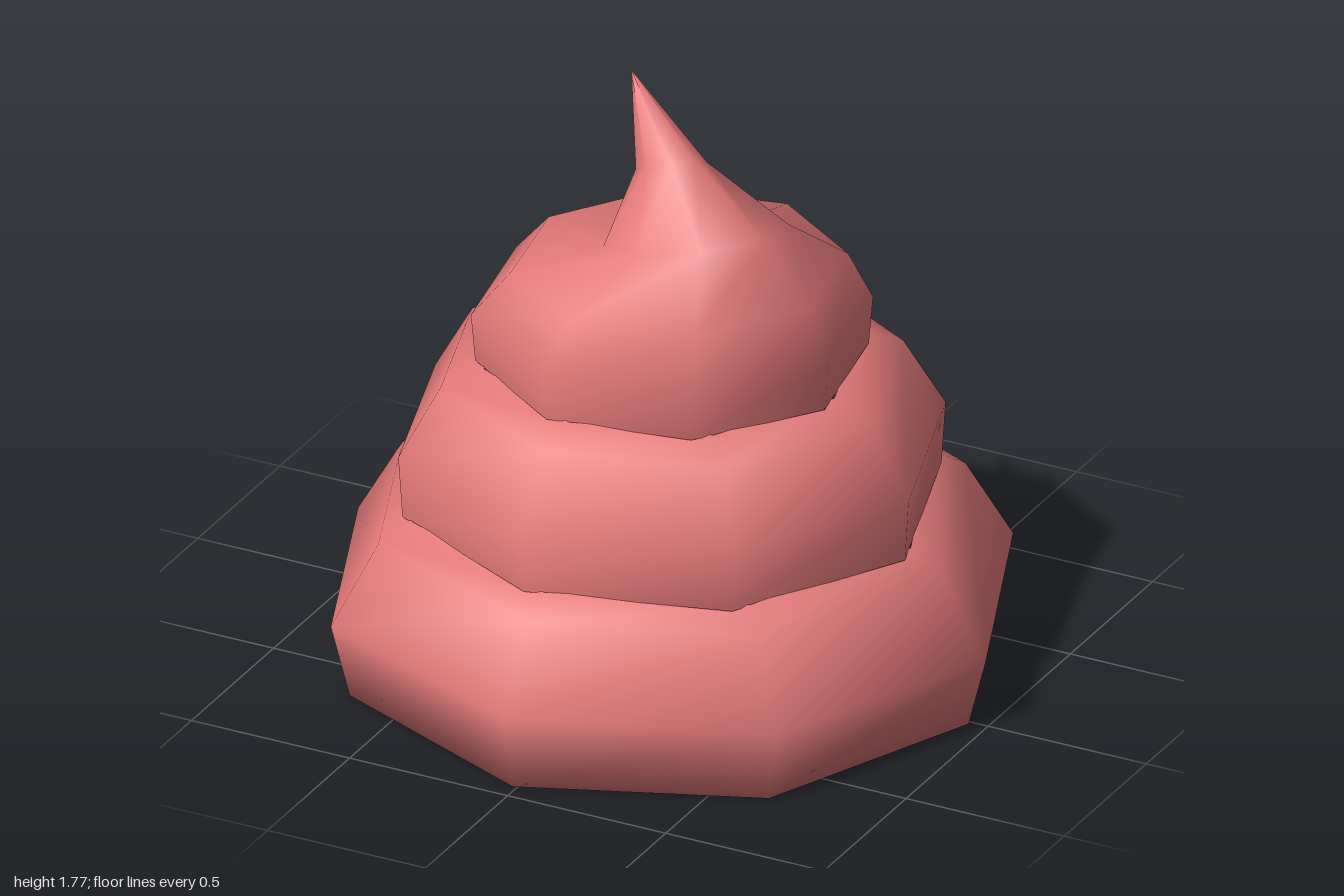
import * as THREE from 'three';

const SIDES = 8;
const mat = (name, color) => {
  const m = new THREE.MeshStandardMaterial({ color });
  m.name = name;
  return m;
};

// Skin stacked octagonal rings, listed bottom to top.
// Ring: radius r, height y, centre cx/cz, slope sx/sz, twist rot in degrees.
function loft(rings) {
  const pos = [], index = [];
  for (const { r, y, cx = 0, cz = 0, sx = 0, sz = 0, rot = 0, wave = 0 } of rings) {
    for (let i = 0; i < SIDES; i++) {
      const a = THREE.MathUtils.degToRad(rot) + (i * 2 * Math.PI) / SIDES;
      const dx = r * Math.cos(a), dz = r * Math.sin(a);
      pos.push(cx + dx, y + dx * sx + dz * sz - wave * Math.cos(2 * a), cz + dz);
    }
  }
  for (let j = 0; j < rings.length - 1; j++) {
    for (let i = 0; i < SIDES; i++) {
      const a = j * SIDES + i, b = j * SIDES + ((i + 1) % SIDES);
      index.push(a, a + SIDES, b, b, a + SIDES, b + SIDES);
    }
  }
  const geo = new THREE.BufferGeometry();
  geo.setAttribute('position', new THREE.Float32BufferAttribute(pos, 3));
  geo.setIndex(index);
  geo.computeVertexNormals();
  return geo;
}

export function createModel() {
  const group = new THREE.Group();
  group.name = 'swirl';
  const skin = mat('salmon', 0xe57a7a);
  const dark = mat('darkBrown', 0x633535);
  const blush = mat('purple', 0xc869e4);

  const add = (name, geo, material) => {
    const mesh = new THREE.Mesh(geo, material);
    mesh.name = name;
    group.add(mesh);
    return mesh;
  };

  // Bottom tier with its shallow hollow underside
  const bottomTier = add('bottomTier', loft([
    { r: 0, y: 0.1 },
    { r: 0.6, y: 0.09 },
    { r: 0.945, y: 0 },
    { r: 1, y: 0.225, wave: 0.015 },
    { r: 0.86, y: 0.467, wave: 0.017 },
    { r: 0.76, y: 0.52, wave: 0.01 },
  ].map((ring) => ({ rot: 0.8, ...ring }))), skin);

  // Middle tier
  const middleTier = add('middleTier', loft([
    { r: 0.775, y: 0.512, wave: 0.012 },
    { r: 0.787, y: 0.7, wave: 0.012 },
    { r: 0.665, y: 0.908, wave: 0.01 },
    { r: 0.54, y: 0.952, wave: 0.005 },
  ].map((ring) => ({ rot: 5, ...ring }))), skin);

  // Top tier drawn up into a curled tip
  add('topTier', loft([
    { r: 0.555, y: 0.947, rot: 12, wave: 0.005 },
    { r: 0.567, y: 1.09, rot: 12 },
    { r: 0.475, y: 1.255, rot: 12, cx: 0.045, cz: 0.04, sx: 0.02, sz: 0.01 },
    { r: 0.26, y: 1.385, rot: 14, cx: 0.125, cz: 0.095, sx: 0.24, sz: 0.2 },
    { r: 0.1, y: 1.59, rot: 18, cx: 0.05, cz: 0.1, sx: 0.35, sz: 0.45 },
    { r: 0, y: 1.77, rot: 18, cx: -0.16, cz: -0.06 },
  ]), skin);

  // Dark round patch underneath
  const base = add('basePatch', new THREE.CircleGeometry(0.54, 40), dark);
  base.rotation.x = Math.PI / 2;
  base.position.y = 0.084;

  // Painted face on the back: flat shapes laid onto the tiers along z
  const ray = new THREE.Raycaster();
  const paint = (name, geo, target, place, material) => {
    const p = geo.attributes.position;
    for (let i = 0; i < p.count; i++) {
      const [x, y] = place(p.getX(i), p.getY(i));
      ray.set(new THREE.Vector3(x, y, -3), new THREE.Vector3(0, 0, 1));
      const hit = ray.intersectObject(target)[0];
      if (!hit) continue;
      const v = hit.point.addScaledVector(hit.face.normal, 0.006);
      p.setXYZ(i, v.x, v.y, v.z);
    }
    geo.computeVertexNormals();
    add(name, geo, material);
  };
  const spot = (name, target, cx, cy, rx, ry, material) =>
    paint(name, new THREE.RingGeometry(0.01, 1, 20, 4), target,
      (x, y) => [cx - rx * x, cy + ry * y], material);

  spot('rightEye', middleTier, -0.23, 0.71, 0.036, 0.042, dark);
  spot('leftEye', middleTier, 0.33, 0.71, 0.034, 0.042, dark);
  spot('rightCheek', bottomTier, -0.39, 0.425, 0.1, 0.075, blush);
  spot('leftCheek', bottomTier, 0.455, 0.425, 0.088, 0.075, blush);

  // Gently drooping mouth
  paint('mouth', new THREE.PlaneGeometry(2, 2, 16, 1), bottomTier,
    (x, y) => [0.03 - 0.17 * x, 0.447 - 0.038 * x * x + 0.009 * y], dark);

  return group;
}
